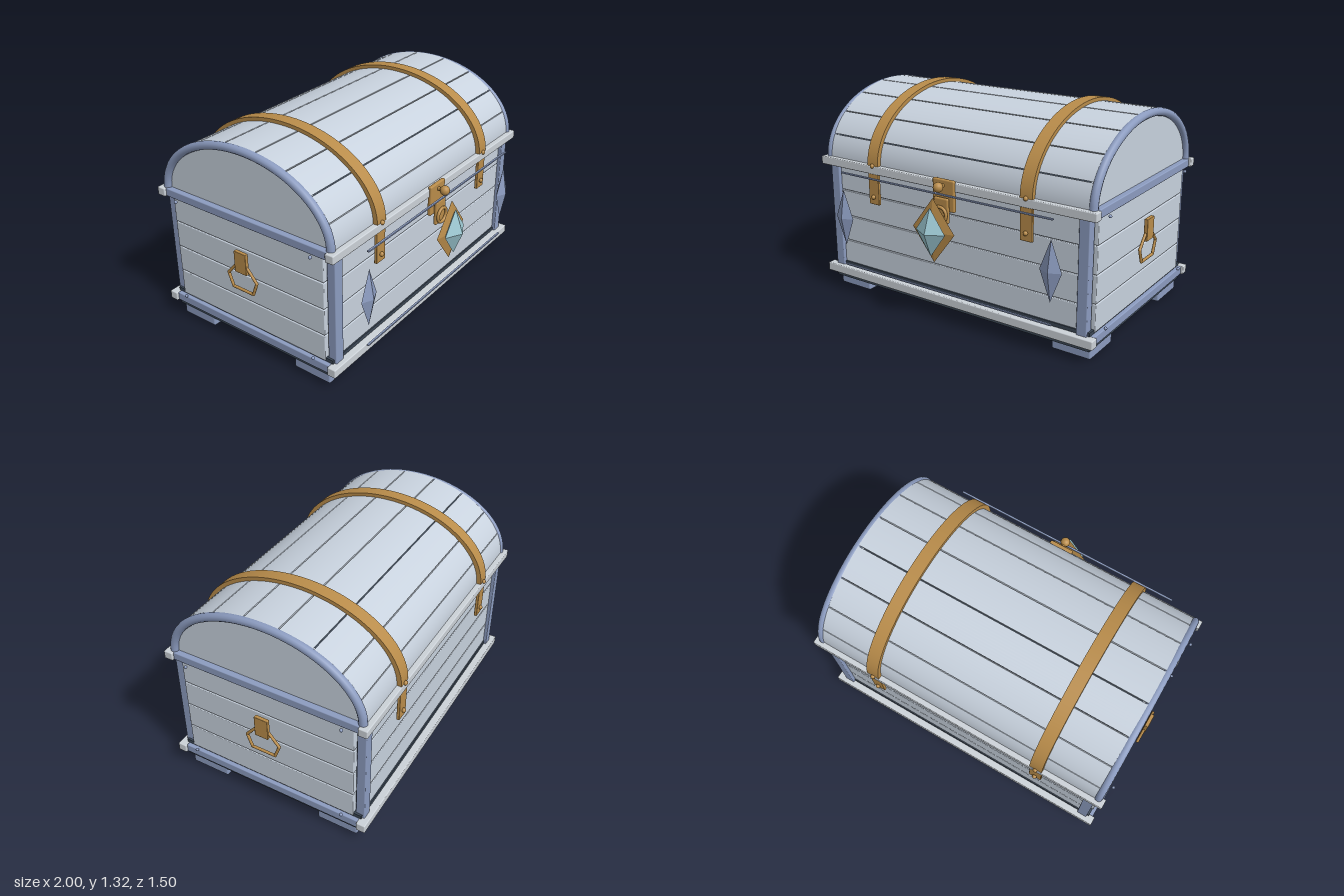
import * as THREE from 'three';
import { toCreasedNormals } from 'three/addons/utils/BufferGeometryUtils.js';
import { RoundedBoxGeometry } from 'three/addons/geometries/RoundedBoxGeometry.js';

const mat = (color, flatShading = false) => {
  const m = new THREE.MeshStandardMaterial({ color });
  m.flatShading = flatShading;
  return m;
};

const CZ = -0.088; // chest centre in z (the front ornaments stick out)
const LID_Y = 0.88; // base line of the arched lid

export function createModel() {
  const root = new THREE.Group();
  const wood = mat(0xc8d2de), pale = mat(0xccd2d8), blue = mat(0x8c9cc0);
  const dark = mat(0x3a4654), gold = mat(0xb98c4a);
  const goldFlat = mat(0xb98c4a, true), blueFlat = mat(0x8c9cc0, true), tealFlat = mat(0x9cc8d2, true);

  const add = (name, geo, material, x = 0, y = 0, z = 0, parent = root) => {
    const m = new THREE.Mesh(geo, material);
    m.name = name;
    m.position.set(x, y, z);
    parent.add(m);
    return m;
  };
  // box given by its limits
  const box = (name, material, [x0, x1], [y0, y1], [z0, z1], r = 0.006) => {
    const s = [x1 - x0, y1 - y0, z1 - z0];
    const geo = r ? new RoundedBoxGeometry(...s, 2, r) : new THREE.BoxGeometry(...s);
    return add(name, geo, material, (x0 + x1) / 2, (y0 + y1) / 2, (z0 + z1) / 2);
  };
  // box mirrored to both sides: limits in x, or in z measured from the chest centre
  const boxX = (name, m, [x0, x1], y, z, r) => {
    box(name, m, [x0, x1], y, z, r);
    box(name, m, [-x1, -x0], y, z, r);
  };
  const boxZ = (name, m, x, y, [z0, z1], r) => {
    box(name, m, x, y, [CZ + z0, CZ + z1], r);
    box(name, m, x, y, [CZ - z1, CZ - z0], r);
  };
  const ball = (name, m, r, x, y, z) => add(name, new THREE.SphereGeometry(r, 16, 12), m, x, y, z);

  // feet, base and dark inner body
  for (const s of [-1, 1])
    boxZ('foot', blue, s > 0 ? [0.69, 0.94] : [-0.94, -0.69], [0, 0.072], [0.32, 0.578], 0.012);
  box('base', dark, [-0.945, 0.945], [0.065, 0.18], [CZ - 0.606, CZ + 0.606], 0);
  box('bodyCore', dark, [-0.915, 0.915], [0.15, 0.88], [CZ - 0.585, CZ + 0.585], 0);

  // wall planks, four rows on every side
  for (let i = 0; i < 4; i++) {
    const y = [0.162 + i * 0.17, 0.327 + i * 0.17];
    boxZ('longPlank', wood, [-0.87, 0.87], [Math.max(y[0], 0.178), y[1]], [0.56, 0.599], 0.005);
    boxX('endPlank', wood, [0.88, 0.95], y, [CZ - 0.556, CZ + 0.556], 0.005);
  }

  // corner posts
  for (const s of [-1, 1])
    boxZ('cornerPost', blue, s > 0 ? [0.866, 0.932] : [-0.932, -0.866], [0.15, 0.84], [0.564, 0.62]);

  // lower and upper rims
  for (const y of [[0.102, 0.157], [0.833, 0.885]]) {
    boxZ('longRail', pale, [-0.984, 0.984], y, [0.593, 0.649]);
    boxX('endRail', blue, [0.9, 0.97], y, [CZ - 0.595, CZ + 0.595]);
  }

  // arched lid
  const lid = new THREE.Group();
  lid.name = 'lid';
  lid.position.set(0, LID_Y, CZ);
  root.add(lid);
  // curved slab between two half ellipses, extruded along x
  const slab = (name, m, x0, x1, [a, b], inner, t0, t1, seg) => {
    const s = new THREE.Shape();
    s.absellipse(0, 0, a, b, t0, t1, false);
    if (inner) {
      const [c, d] = inner;
      s.lineTo(c * Math.cos(t1), d * Math.sin(t1));
      s.absellipse(0, 0, c, d, t1, t0, true);
    }
    s.closePath();
    let g = new THREE.ExtrudeGeometry(s, { depth: x1 - x0, bevelEnabled: false, curveSegments: seg });
    g = toCreasedNormals(g, 0.6);
    g.rotateY(Math.PI / 2);
    return add(name, g, m, x0, 0, 0, lid);
  };
  slab('lidCore', dark, -0.9, 0.9, [0.6, 0.403], null, 0, Math.PI, 40);
  for (let i = 0; i < 9; i++) {
    const gap = 0.006, step = Math.PI / 9;
    slab('lidPlank', wood, -0.935, 0.935, [0.617, 0.42], [0.585, 0.39], i * step + gap, (i + 1) * step - gap, 6);
  }
  const arch = [];
  for (let i = 0; i <= 24; i++) {
    const t = Math.PI * i / 24;
    arch.push(new THREE.Vector3(0, 0.397 * Math.sin(t), 0.602 * Math.cos(t)));
  }
  const archCurve = new THREE.CatmullRomCurve3(arch);
  for (const s of [-1, 1]) {
    slab('lidEnd', wood, s > 0 ? 0.9 : -0.935, s > 0 ? 0.935 : -0.9, [0.6, 0.4], null, 0, Math.PI, 40);
    add('lidTrim', new THREE.TubeGeometry(archCurve, 64, 0.025, 12), blue, s * 0.94, 0, 0, lid);
  }

  // metal bands over the lid, with straps and rivets on the front and back
  for (const x of [-0.553, 0.553]) {
    slab('lidBand', gold, x - 0.04, x + 0.04, [0.645, 0.442], [0.61, 0.41], 0, Math.PI, 48);
    boxZ('strap', gold, [x - 0.04, x + 0.04], [0.638, 0.86], [0.624, 0.643], 0.004);
    for (const s of [-1, 1]) for (const y of [0.687, 0.886])
      ball('rivet', gold, 0.014, x, y, CZ + s * 0.648);
  }

  // end handles: a plate with a five-sided ring, and small corner rivets
  const ring = [[0, 0.632], [0.107, 0.507], [0.076, 0.424], [-0.076, 0.424], [-0.107, 0.507]];
  for (const s of [-1, 1]) {
    const handle = new THREE.Group();
    handle.name = 'endHandle';
    handle.position.set(s * 0.986, 0, CZ);
    root.add(handle);
    add('handlePlate', new RoundedBoxGeometry(0.024, 0.136, 0.088, 2, 0.004), gold, s * 0.002, 0.608, 0, handle);
    ring.forEach(([z, y], i) => {
      const [z2, y2] = ring[(i + 1) % ring.length];
      const a = new THREE.Vector3(0, y, z), b = new THREE.Vector3(0, y2, z2);
      const dir = b.clone().sub(a), mid = a.clone().add(b).multiplyScalar(0.5);
      const bar = add('handleBar', new THREE.CylinderGeometry(0.009, 0.009, dir.length(), 10), gold, mid.x, mid.y, mid.z, handle);
      bar.quaternion.setFromUnitVectors(new THREE.Vector3(0, 1, 0), dir.normalize());
      add('handleJoint', new THREE.SphereGeometry(0.009, 10, 8), gold, 0, y, z, handle);
    });
    for (const y of [0.177, 0.829]) for (const z of [-0.5, 0.5])
      ball('cornerRivet', blue, 0.01, s * 0.986, y, CZ + z);
  }

  // lock: back plate, hasp, ring and knob
  box('lockPlate', gold, [-0.077, 0.077], [0.71, 0.9], [0.548, 0.573], 0.008);
  box('hasp', gold, [-0.052, 0.052], [0.645, 0.797], [0.577, 0.6], 0.01);
  add('haspRing', new THREE.TorusGeometry(0.045, 0.01, 10, 28), gold, 0, 0.7, 0.607);
  ball('lockKnob', gold, 0.03, 0, 0.865, 0.617);
  const stem = add('knobStem', new THREE.CylinderGeometry(0.012, 0.012, 0.05, 12), gold, 0, 0.865, 0.59);
  stem.rotation.x = Math.PI / 2;

  // faceted gems
  const gem = (name, m, x, y, z, w, h, d) =>
    add(name, new THREE.OctahedronGeometry(1), m, x, y, z).scale.set(w, h, d);
  gem('gemSetting', goldFlat, 0, 0.62, 0.668, 0.15, 0.195, 0.032);
  gem('centreGem', tealFlat, 0, 0.618, 0.697, 0.105, 0.147, 0.056);
  for (const x of [-0.75, 0.75]) gem('sideGem', blueFlat, x, 0.532, 0.617, 0.07, 0.182, 0.033);

  // thin front rods
  for (const y of [0.217, 0.826])
    box('frontRod', blue, [-0.76, 0.76], [y - 0.005, y + 0.005], [0.609, 0.623], 0.003);

  return root;
}
